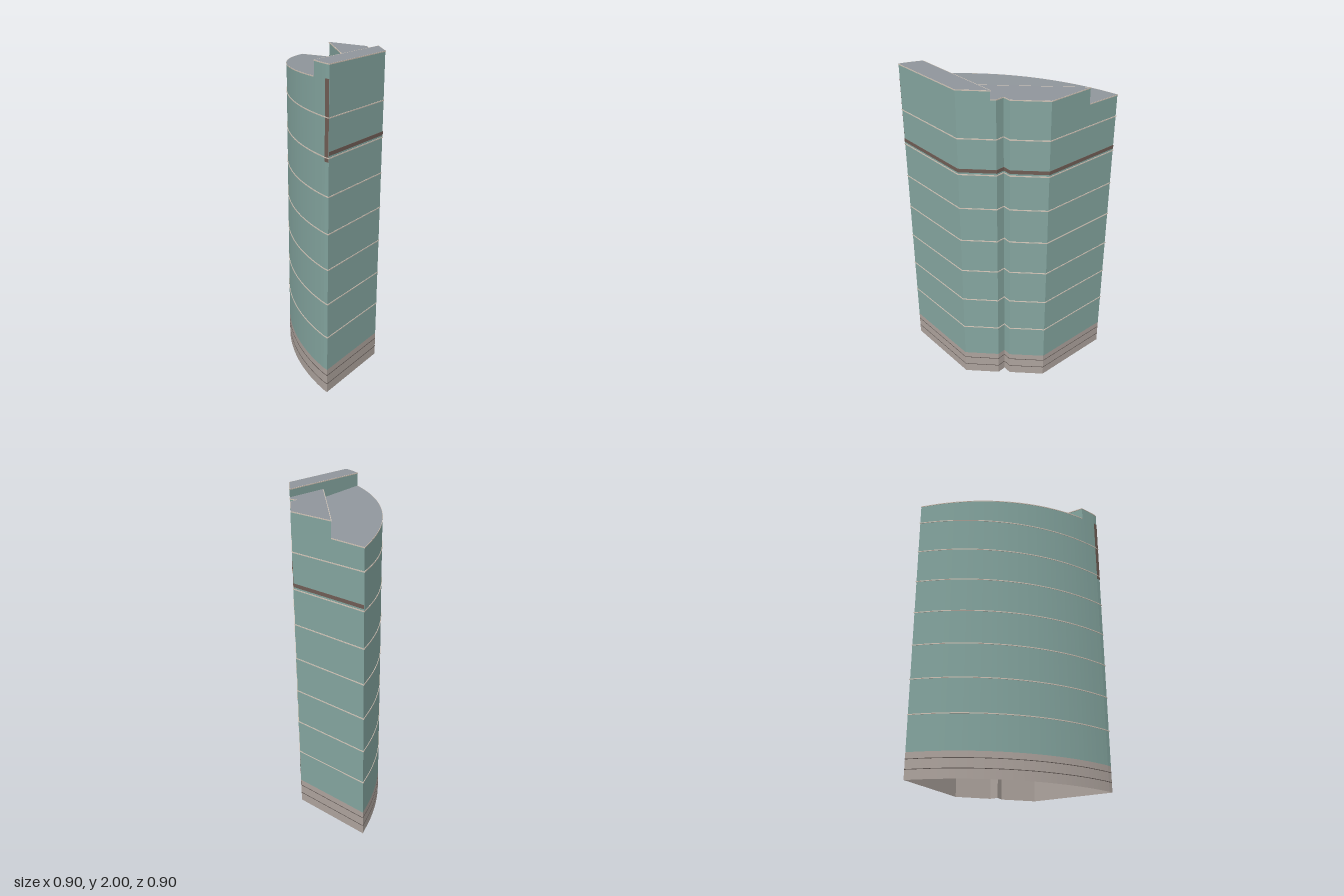
import * as THREE from 'three';

const paint = (color) => new THREE.MeshStandardMaterial({ color, side: THREE.DoubleSide, flatShading: true });

// Points are [x, z], ordered front wall, chamfer with notch, right wall, curved back
const stripFront = [[-0.447, 0.447], [0.085, 0.443], [0.218, 0.31]];
const notchSide = [[0.218, 0.31], [0.24, 0.288], [0.235, 0.232], [0.29, 0.233], [0.445, 0.075], [0.443, -0.22]];
const backCorner = [0.442, -0.45];
const stepInner = [-0.07, 0.31];

// Shallow circular arc between the two far corners
function arcPoints(n) {
  const half = 0.634, rise = 0.16;
  const r = (half * half + rise * rise) / (2 * rise);
  const sweep = Math.asin(half / r);
  const s = Math.SQRT1_2, pts = [];
  for (let i = 0; i <= n; i++) {
    const a = sweep * (1 - (2 * i) / n);
    const t = r * Math.sin(a), d = r * Math.cos(a) - r + rise;
    pts.push([(t - d) * s - 0.002, (-t - d) * s - 0.001]);
  }
  pts[0] = backCorner;
  pts[n] = stripFront[0];
  return pts;
}

// Arc split where the tall front strip begins
const arc = arcPoints(40);
const cut = arc.findIndex((p) => p[1] > 0.31);
const [pa, pb] = [arc[cut - 1], arc[cut]];
const k = (0.31 - pa[1]) / (pb[1] - pa[1]);
const arcStep = [pa[0] + (pb[0] - pa[0]) * k, 0.31];
const backArc = [...arc.slice(0, cut), arcStep];
const stripArc = [arcStep, ...arc.slice(cut)];

// Roof heights; the low rear roof tilts slightly
const high = () => 2;
const middle = () => 1.95;
const low = (x, z) => 1.85 + 0.06 * (0.442 - x) + 0.02 * (z + 0.45);

function grid(rows, closed) {
  const pos = [];
  const n = rows.length;
  for (let i = 0; i < (closed ? n : n - 1); i++) {
    const A = rows[i], B = rows[(i + 1) % n];
    for (let j = 0; j < A.length - 1; j++) {
      pos.push(...A[j], ...B[j], ...B[j + 1], ...A[j], ...B[j + 1], ...A[j + 1]);
    }
  }
  const g = new THREE.BufferGeometry();
  g.setAttribute('position', new THREE.Float32BufferAttribute(pos, 3));
  g.computeVertexNormals();
  return g;
}

// Vertical wall along a path between two height rules
const wallGeo = (path, bottom, top, closed = false) =>
  grid(path.map(([x, z]) => [[x, bottom(x, z), z], [x, top(x, z), z]]), closed);

// Slim moulding projecting from a path, with mitred corners
function trimGeo(path, y, h, out, closed = false) {
  const n = path.length;
  const normal = (a, b) => new THREE.Vector2(a[1] - b[1], b[0] - a[0]).normalize();
  const rows = path.map((p, i) => {
    const prev = i > 0 ? path[i - 1] : closed ? path[n - 1] : null;
    const next = i < n - 1 ? path[i + 1] : closed ? path[0] : null;
    const n1 = prev ? normal(prev, p) : normal(p, next);
    const n2 = next ? normal(p, next) : n1;
    const m = n1.clone().add(n2);
    m.multiplyScalar(out / Math.max(0.5, 1 + n1.dot(n2)));
    const [x, z] = p, y0 = y(x, z);
    return [[x, y0, z], [x + m.x, y0, z + m.y], [x + m.x, y0 + h, z + m.y], [x, y0 + h, z]];
  });
  return grid(rows, closed);
}

function roofGeo(path, height) {
  const g = new THREE.ShapeGeometry(new THREE.Shape(path.map(([x, z]) => new THREE.Vector2(x, -z))));
  g.rotateX(-Math.PI / 2);
  const p = g.attributes.position;
  for (let i = 0; i < p.count; i++) p.setY(i, height(p.getX(i), p.getZ(i)));
  g.computeVertexNormals();
  return g;
}

export function createModel() {
  const group = new THREE.Group();
  const teal = paint(0x84a59f), stone = paint(0xada39d), slate = paint(0x8f959b);
  const pale = paint(0xcfc3b6), brown = paint(0x6f5d55), dark = paint(0x5f5652);
  const add = (name, geo, mat) => {
    const mesh = new THREE.Mesh(geo, mat);
    mesh.name = name;
    group.add(mesh);
  };
  const level = (y) => () => y;
  const outline = [...stripFront, ...notchSide.slice(1), ...arc.slice(0, -1)];

  // Stone base with two dark joints
  add('base', wallGeo(outline, level(0), level(0.16), true), stone);
  for (const y of [0.06, 0.12]) add('baseJoint', trimGeo(outline, level(y - 0.002), 0.004, 0.001, true), dark);

  // Outer walls, one run per roof level
  const rightEnd = [notchSide[5], backCorner];
  const runs = [
    ['frontWall', [...stripArc, ...stripFront.slice(1)], high],
    ['notchedWall', notchSide, middle],
    ['rearWall', [...rightEnd, ...backArc.slice(1)], low],
  ];
  for (const [name, path, top] of runs) {
    add(name, wallGeo(path, level(0.16), top), teal);
    add(name + 'Coping', trimGeo(path, (x, z) => top(x, z) - 0.006, 0.006, 0.002), pale);
  }

  // Steps between the roof levels
  const frontStep = [stripFront[2], stepInner, arcStep];
  const diagonalStep = [notchSide[5], stepInner];
  add('frontStep', wallGeo(frontStep, low, high), teal);
  add('diagonalStep', wallGeo(diagonalStep, low, middle), teal);
  add('frontStepCoping', trimGeo(frontStep, level(1.994), 0.006, 0.004), pale);
  add('diagonalStepCoping', trimGeo(diagonalStep, level(1.944), 0.006, 0.004), pale);

  // Roofs
  add('frontRoof', roofGeo([...stripArc, ...stripFront.slice(1)], high), slate);
  add('middleRoof', roofGeo([...notchSide, stepInner], middle), slate);
  add('rearRoof', roofGeo([...rightEnd, ...backArc.slice(1), stepInner], low), slate);

  // Pale floor lines all round
  for (let i = 0; i < 7; i++) {
    add('floorLine', trimGeo(outline, level(0.381 + i * 0.222), 0.006, 0.003, true), pale);
  }

  // Brown band on the flat walls only
  const flatWalls = [...stripFront, ...notchSide.slice(1), backCorner];
  add('brownBand', trimGeo(flatWalls, level(1.508), 0.022, 0.002), brown);

  // Narrow upright strip at the end of the curved wall
  add('cornerStrip', trimGeo(arc.slice(-2), level(1.47), 0.45, 0.002), brown);

  return group;
}
